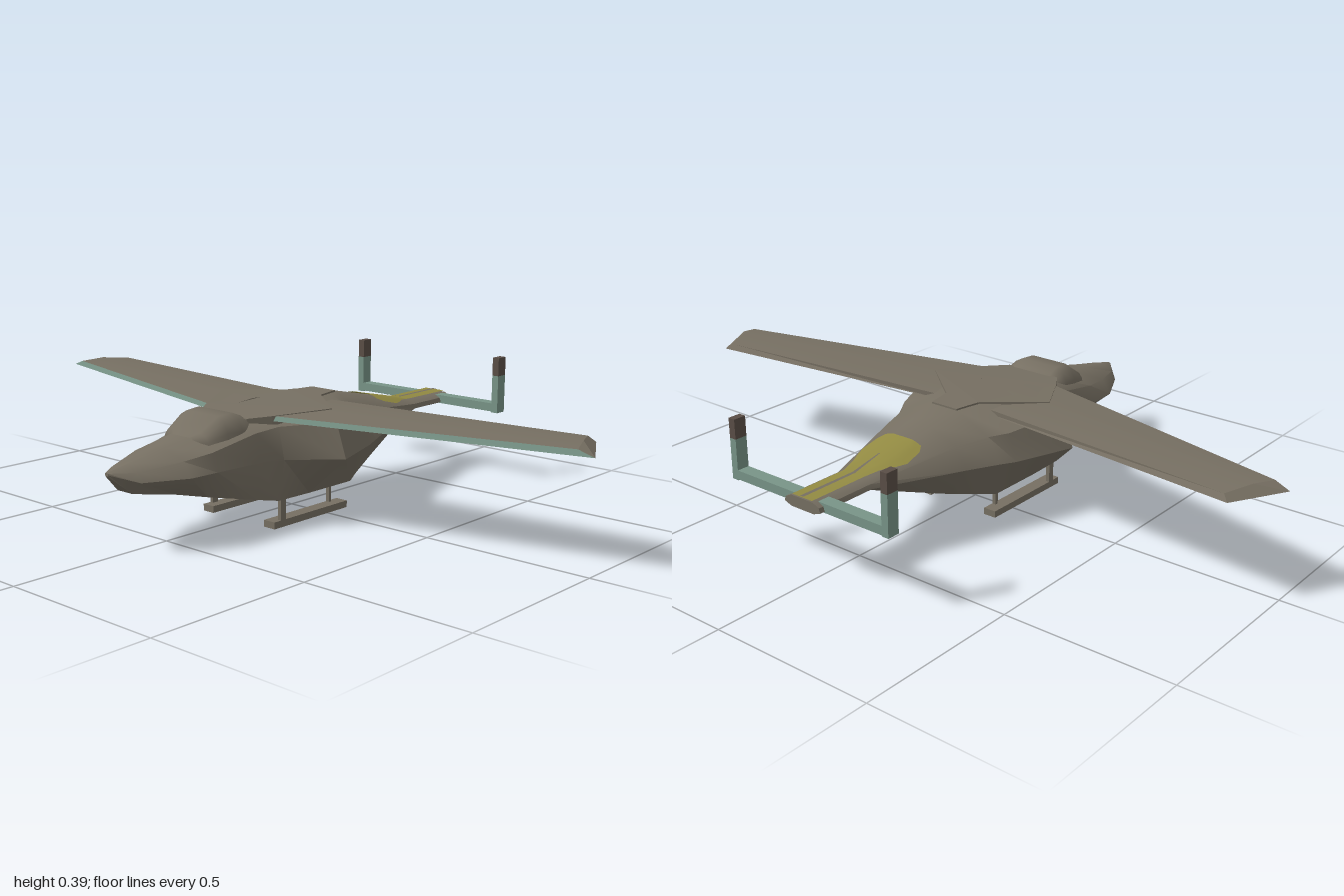
import * as THREE from 'three';
import { toCreasedNormals } from 'three/addons/utils/BufferGeometryUtils.js';

const mat = (name, color, extra = {}) => {
  const m = new THREE.MeshStandardMaterial({ color, ...extra });
  m.name = name;
  return m;
};

// Skin rings of 3D points; one geometry group per lengthwise strip, caps last.
function loft(rings, { flip = false, open = false, crease = 0.6 } = {}) {
  const pos = [];
  const g = new THREE.BufferGeometry();
  const n = rings[0].length;
  const tri = (a, b, c) => pos.push(...a, ...(flip ? c : b), ...(flip ? b : c));
  let start = 0;
  const endGroup = (k) => {
    g.addGroup(start, pos.length / 3 - start, k);
    start = pos.length / 3;
  };
  for (let j = 0; j < (open ? n - 1 : n); j++) {
    const k = (j + 1) % n;
    for (let i = 0; i < rings.length - 1; i++) {
      const [a, b] = [rings[i], rings[i + 1]];
      tri(a[j], b[j], a[k]);
      tri(a[k], b[j], b[k]);
    }
    endGroup(j);
  }
  if (!open) {
    const [a, b] = [rings[0], rings[rings.length - 1]];
    for (let j = 1; j < n - 1; j++) {
      tri(a[0], a[j], a[j + 1]);
      tri(b[0], b[j + 1], b[j]);
    }
    endGroup(n);
  }
  g.setAttribute('position', new THREE.Float32BufferAttribute(pos, 3));
  return toCreasedNormals(g, crease);
}

// Hull stations: z, then x,y of belly edge, chine, shoulder and roof edge
const HULL = [
  [0.70, 0.004, 0.218, 0.006, 0.222, 0.005, 0.226, 0.002, 0.228],
  [0.64, 0.03, 0.165, 0.065, 0.20, 0.05, 0.225, 0.01, 0.242],
  [0.52, 0.06, 0.145, 0.125, 0.20, 0.095, 0.24, 0.02, 0.265],
  [0.43, 0.09, 0.125, 0.13, 0.20, 0.11, 0.25, 0.04, 0.283],
  [0.28, 0.13, 0.094, 0.14, 0.20, 0.125, 0.28, 0.08, 0.31],
  [0.21, 0.145, 0.08, 0.165, 0.20, 0.145, 0.29, 0.10, 0.312],
  [0.09, 0.15, 0.08, 0.285, 0.20, 0.25, 0.30, 0.15, 0.322],
  [-0.09, 0.15, 0.08, 0.222, 0.20, 0.195, 0.28, 0.08, 0.325],
  [-0.14, 0.13, 0.092, 0.205, 0.205, 0.16, 0.275, 0.05, 0.325],
  [-0.24, 0.10, 0.12, 0.165, 0.21, 0.13, 0.27, 0.04, 0.304],
  [-0.51, 0.04, 0.213, 0.065, 0.222, 0.06, 0.235, 0.04, 0.245],
  [-0.70, 0.04, 0.213, 0.065, 0.222, 0.06, 0.235, 0.04, 0.245],
];

// Mirror a half outline into a full ring at depth z
const ring = (z, half) => [
  ...half.map(([x, y]) => [x, y, z]),
  ...half.slice().reverse().map(([x, y]) => [-x, y, z]),
];

// Height of the hull's upper skin
function roofY(x, z) {
  let i = 0;
  while (i < HULL.length - 2 && HULL[i + 1][0] > z) i++;
  const [a, b] = [HULL[i], HULL[i + 1]];
  const t = (z - a[0]) / (b[0] - a[0]);
  const [, , , , , sx, sy, tx, ty] = a.map((v, k) => v + (b[k] - v) * t);
  const f = Math.max(0, (Math.abs(x) - tx) / (sx - tx));
  return ty + (sy - ty) * f;
}

// Thin strip lying on the hull; rows of [z, half width]
const roofStrip = (rows, lift) => loft(
  rows.map(([z, w]) => [1, 0.75, 0.5, 0, -0.5, -0.75, -1].map((f) => [f * w, roofY(f * w, z) + lift, z])),
  { open: true },
);

export function createModel() {
  const model = new THREE.Group();
  model.name = 'aircraft';
  const body = mat('body grey brown', 0x766f62);
  const dark = mat('dark brown', 0x5a4e46);
  const teal = mat('grey green', 0x789487);
  const yellow = mat('dull yellow', 0x928a42, { side: THREE.DoubleSide });

  const add = (name, geometry, material, x = 0, y = 0, z = 0) => {
    const m = new THREE.Mesh(geometry, material);
    m.name = name;
    m.position.set(x, y, z);
    model.add(m);
    return m;
  };
  const box = (name, material, w, h, d, x, y, z) =>
    add(name, new THREE.BoxGeometry(w, h, d), material, x, y, z);

  // Hull with tail boom
  add('hull', loft(HULL.map(([z, ...p]) =>
    ring(z, [0, 2, 4, 6].map((k) => [p[k], p[k + 1]]))), { crease: 0.7 }), body);

  // Canopy: z, half width, base height, top height
  const canopy = [
    [0.445, 0.05, 0.255, 0.278], [0.42, 0.088, 0.25, 0.293], [0.36, 0.102, 0.245, 0.331],
    [0.31, 0.108, 0.24, 0.334], [0.28, 0.11, 0.24, 0.322], [0.26, 0.11, 0.24, 0.308],
  ].map(([z, w, b, t]) => ring(z, [
    [w, b], [w * 0.97, b + (t - b) * 0.5], [w * 0.83, b + (t - b) * 0.85], [w * 0.6, t],
  ]));
  add('canopy', loft(canopy, { crease: 0.9 }), body);

  // Roof fairing over the wing roots, sloping down towards the canopy
  const outline = [[0.09, 0.28], [0.13, 0.22], [0.215, 0.07], [0.06, -0.06], [0.045, -0.14]];
  const shape = new THREE.Shape([
    ...outline, ...outline.slice().reverse().map(([x, z]) => [-x, z]),
  ].map(([x, z]) => new THREE.Vector2(x, -z)));
  const fairing = new THREE.ExtrudeGeometry(shape, { depth: 0.025, bevelEnabled: false });
  fairing.rotateX(-Math.PI / 2);
  const fp = fairing.attributes.position;
  for (let i = 0; i < fp.count; i++) {
    fp.setY(i, fp.getY(i) + 0.305 - Math.max(0, fp.getZ(i) - 0.07) * 0.07);
  }
  fairing.computeVertexNormals();
  add('roofFairing', fairing, body);

  for (const s of [1, -1]) {
    const side = s > 0 ? 'left' : 'right';

    // Wing: green leading edge, dark underside, bevelled tip
    const wing = [
      [[0.06, 0.305, 0.235], [0.06, 0.318, 0.23], [0.06, 0.327, 0.1], [0.06, 0.32, -0.06], [0.06, 0.306, -0.06]],
      [[1.0, 0.306, 0.002], [0.955, 0.322, 0.008], [0.93, 0.329, -0.06], [0.895, 0.322, -0.142], [0.912, 0.306, -0.155]],
    ].map((r) => r.map(([x, y, z]) => [x * s, y, z]));
    add(`${side}Wing`, loft(wing, { flip: s < 0, crease: 0.2 }), [teal, body, body, body, dark, body]);

    // Worn patches under the wing
    for (const [x, z, r] of [[0.86, -0.05, 0.035], [0.7, -0.02, 0.025], [0.5, 0.03, 0.018]]) {
      const patch = add(`${side}WingPatch`, new THREE.CylinderGeometry(r, r, 0.003, 9), teal, s * x, 0.3045, z);
      patch.scale.x = 1.3;
    }

    // Landing skid and its two struts
    box(`${side}Skid`, body, 0.04, 0.02, 0.31, s * 0.122, 0.01, 0.07);
    box(`${side}FrontStrut`, body, 0.012, 0.08, 0.02, s * 0.136, 0.055, 0.188);
    box(`${side}RearStrut`, body, 0.012, 0.08, 0.01, s * 0.108, 0.055, -0.042);

    // Tailplane half with an upright fin
    box(`${side}Tailplane`, teal, 0.25, 0.026, 0.038, s * 0.158, 0.231, -0.665);
    box(`${side}Fin`, teal, 0.022, 0.118, 0.038, s * 0.272, 0.274, -0.665);
    box(`${side}FinTip`, dark, 0.022, 0.057, 0.038, s * 0.272, 0.3615, -0.665);
  }

  // Yellow panel along the tail and the ridge on it
  add('tailPanel', roofStrip([
    [-0.315, 0.066], [-0.335, 0.078], [-0.39, 0.082], [-0.42, 0.07], [-0.46, 0.05], [-0.51, 0.036], [-0.70, 0.036],
  ], 0.004), yellow);
  add('tailRidge', roofStrip([[-0.41, 0.002], [-0.51, 0.005], [-0.70, 0.006]], 0.007), body);

  return model;
}
